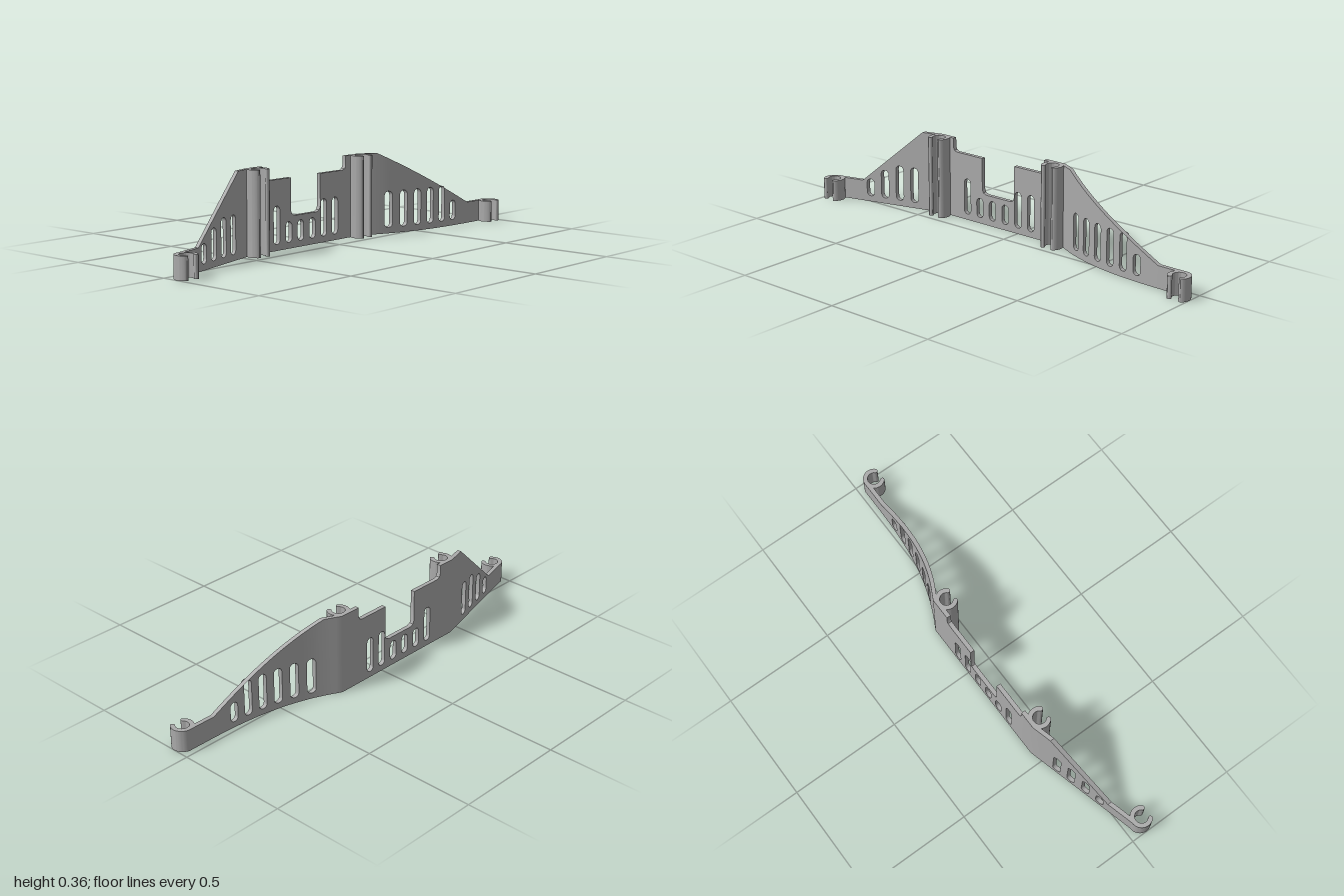
import * as THREE from 'three';
import { toCreasedNormals } from 'three/addons/utils/BufferGeometryUtils.js';

const HALF = 0.0095; // half the wall thickness
const SLOT_R = 0.0185;

// Top edge of the wall as [z, y]
const TOP = [
  [-0.95, 0.095], [-0.83, 0.095], [-0.31, 0.357], [-0.143, 0.357], [-0.143, 0.317],
  [-0.137, 0.303], [-0.123, 0.297], [0.02, 0.297], [0.02, 0.157], [0.026, 0.143], [0.04, 0.136],
  [0.18, 0.136], [0.194, 0.143], [0.2, 0.157], [0.2, 0.297], [0.347, 0.297], [0.361, 0.303],
  [0.367, 0.317], [0.367, 0.357], [0.53, 0.357], [0.83, 0.095], [0.95, 0.095],
];

// Slots as [centre z, top y]
const SLOT_LOW = 0.026;
const SLOTS = [
  [-0.725, 0.115], [-0.653, 0.187], [-0.581, 0.187], [-0.508, 0.187], [-0.435, 0.187], [-0.362, 0.187],
  [-0.073, 0.187], [-0.002, 0.187], [0.07, 0.114], [0.142, 0.114], [0.214, 0.114], [0.286, 0.187],
  [0.573, 0.187], [0.645, 0.187], [0.718, 0.157], [0.79, 0.106],
];

// Centre line of the wall in plan: curved back wing, straight middle, angled front wing
function pathX(z) {
  if (z < -0.24) return Math.max(-0.1005, 0.0345 - 0.38 * Math.pow(z + 0.95, 3));
  return z > 0.444 ? -0.1005 + 0.267 * (z - 0.444) : -0.1005;
}

// Top height at z, on the segment that contains mid
function topAt(z, mid) {
  for (let i = 1; i < TOP.length; i++) {
    const [z0, y0] = TOP[i - 1], [z1, y1] = TOP[i];
    if (mid > z0 && mid < z1) return y0 + (y1 - y0) * (z - z0) / (z1 - z0);
  }
  return 0;
}

function createWall() {
  const pos = [];
  const quad = (a, b, c, d, flip) => {
    const order = flip ? [a, c, b, a, d, c] : [a, b, c, a, c, d];
    order.forEach((p) => pos.push(...p));
  };
  const back = (z, y) => [pathX(z) - HALF, y, z];
  const front = (z, y) => [pathX(z) + HALF, y, z];
  // Upright face across the thickness
  const cap = (z, lo, hi, towardsMinusZ) =>
    quad(back(z, lo), front(z, lo), front(z, hi), back(z, hi), towardsMinusZ);

  // Cross-section positions
  let zs = TOP.map((p) => p[0]).concat([-0.24, 0.444]);
  for (let i = 1; i < 30; i++) zs.push(-0.95 + (0.71 * i) / 30);
  for (const [c] of SLOTS) {
    for (let k = 0; k <= 8; k++) zs.push(c + SLOT_R * Math.cos((k * Math.PI) / 8));
  }
  zs = zs.sort((a, b) => a - b).filter((z, i, s) => i === 0 || z - s[i - 1] > 1e-6);

  let lastTop = 0;
  for (let i = 1; i < zs.length; i++) {
    const z0 = zs[i - 1], z1 = zs[i], mid = (z0 + z1) / 2;
    const t0 = topAt(z0, mid), t1 = topAt(z1, mid);
    // Solid spans [low at z0, low at z1, high at z0, high at z1]
    let spans = [[0, 0, t0, t1]];
    const slot = SLOTS.find(([c]) => Math.abs(mid - c) < SLOT_R);
    if (slot) {
      const bow = (z) => SLOT_R - Math.sqrt(Math.max(0, SLOT_R ** 2 - (z - slot[0]) ** 2));
      const b0 = bow(z0), b1 = bow(z1);
      spans = [[0, 0, SLOT_LOW + b0, SLOT_LOW + b1], [slot[1] - b0, slot[1] - b1, t0, t1]];
    }
    for (const [l0, l1, h0, h1] of spans) {
      quad(front(z1, l1), front(z0, l0), front(z0, h0), front(z1, h1));
      quad(back(z1, l1), back(z0, l0), back(z0, h0), back(z1, h1), true);
      quad(back(z1, h1), front(z1, h1), front(z0, h0), back(z0, h0));
      quad(back(z1, l1), front(z1, l1), front(z0, l0), back(z0, l0), true);
    }
    // Steps in the top edge
    if (Math.abs(t0 - lastTop) > 1e-4) {
      cap(z0, Math.min(t0, lastTop), Math.max(t0, lastTop), t0 > lastTop);
    }
    lastTop = t1;
  }
  cap(zs[zs.length - 1], 0, lastTop, false);

  // Straight sides of the slots
  for (const [c, hi] of SLOTS) {
    cap(c - SLOT_R, SLOT_LOW + SLOT_R, hi - SLOT_R, false);
    cap(c + SLOT_R, SLOT_LOW + SLOT_R, hi - SLOT_R, true);
  }

  const geo = new THREE.BufferGeometry();
  geo.setAttribute('position', new THREE.Float32BufferAttribute(pos, 3));
  return toCreasedNormals(geo, 0.5);
}

// C-shaped snap clip, open towards +x, with rounded tips
function createClip(height) {
  const R = 0.0475, r = 0.028, m = (R + r) / 2, tip = (R - r) / 2, a = 0.8;
  const s = new THREE.Shape();
  s.absarc(0, 0, R, a, 2 * Math.PI - a, false);
  s.absarc(m * Math.cos(a), -m * Math.sin(a), tip, -a, Math.PI - a, false);
  s.absarc(0, 0, r, 2 * Math.PI - a, a, true);
  s.absarc(m * Math.cos(a), m * Math.sin(a), tip, a + Math.PI, a + 2 * Math.PI, false);
  const geo = new THREE.ExtrudeGeometry(s, { depth: height, bevelEnabled: false, curveSegments: 20 });
  geo.rotateX(-Math.PI / 2);
  return toCreasedNormals(geo, 0.6);
}

export function createModel() {
  const group = new THREE.Group();
  group.name = 'clipOnPanel';
  const grey = new THREE.MeshStandardMaterial({ color: 0xaaaaaa });
  grey.name = 'grey';

  const wall = new THREE.Mesh(createWall(), grey);
  wall.name = 'slottedWall';
  group.add(wall);

  const clips = [
    ['backEndClip', 0.072, -0.9525, 0.095],
    ['backMiddleClip', -0.0625, -0.212, 0.357],
    ['frontMiddleClip', -0.0625, 0.425, 0.357],
    ['frontEndClip', 0.0725, 0.9515, 0.095],
  ];
  for (const [name, x, z, height] of clips) {
    const clip = new THREE.Mesh(createClip(height), grey);
    clip.name = name;
    clip.position.set(x, 0, z);
    group.add(clip);
  }
  return group;
}
